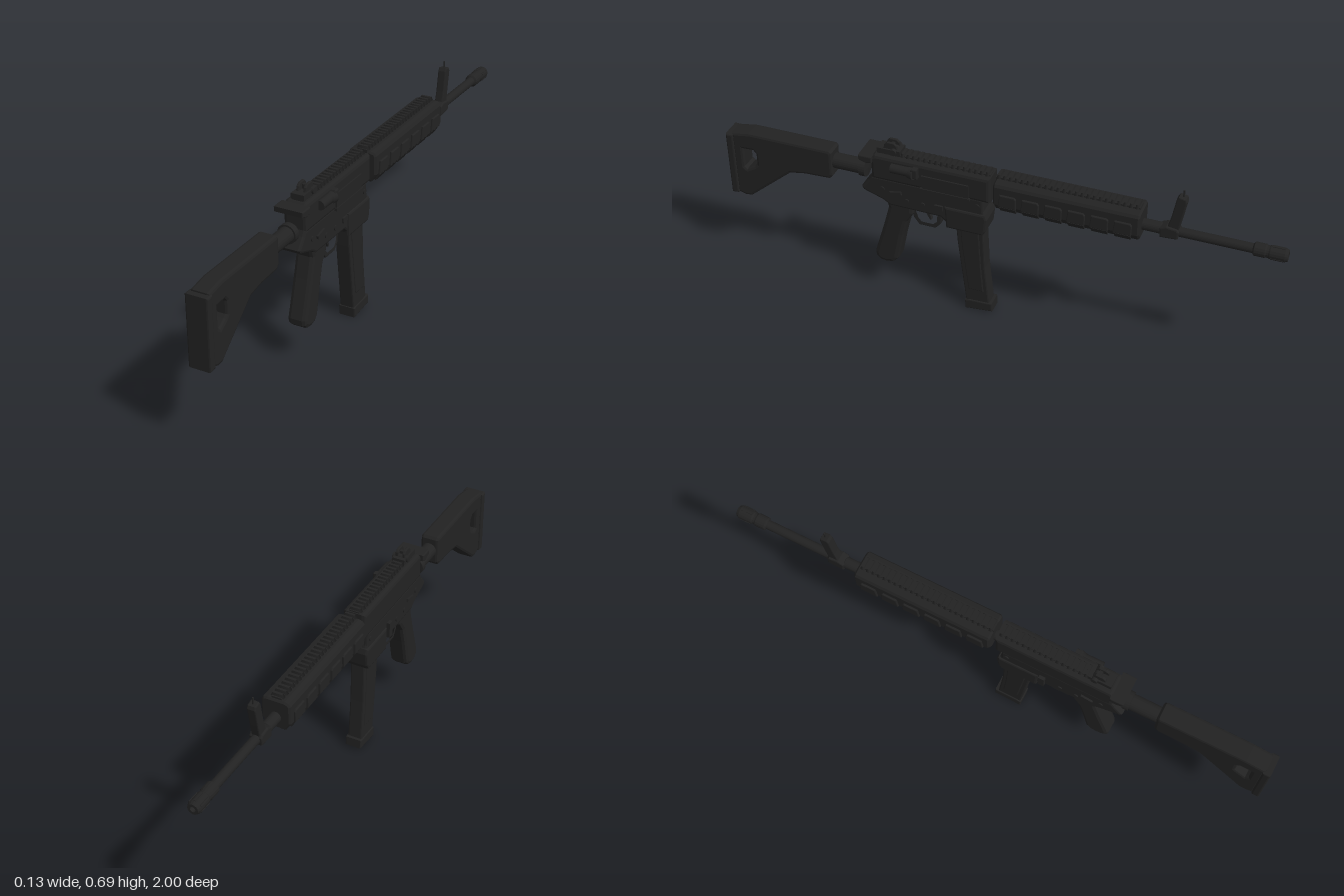
import * as THREE from 'three';

const black = new THREE.MeshStandardMaterial({ color: 0x222222 });
black.name = 'matte black';

const CX = -0.004; // centre line of the gun

function add(parent, name, geo, x = 0, y = 0, z = 0) {
  const m = new THREE.Mesh(geo, black);
  m.name = name;
  m.position.set(x, y, z);
  parent.add(m);
  return m;
}

function outline(points, Type = THREE.Shape) {
  return new Type(points.map(([a, b]) => new THREE.Vector2(a, b)));
}

// Side profile given as [z, y] points, extruded across the width with bevelled edges
function side(parent, name, points, width, bevel = 0.006, hole = null, x = 0) {
  const shape = outline(points);
  if (hole) shape.holes.push(outline(hole, THREE.Path));
  const geo = new THREE.ExtrudeGeometry(shape, {
    depth: width - 2 * bevel, bevelEnabled: bevel > 0, bevelThickness: bevel,
    bevelSize: bevel, bevelOffset: -bevel, bevelSegments: 2,
  });
  geo.translate(0, 0, -(width - 2 * bevel) / 2);
  geo.rotateY(-Math.PI / 2);
  return add(parent, name, geo, x);
}

function box(parent, name, w, h, d, x, y, z) {
  return add(parent, name, new THREE.BoxGeometry(w, h, d), x, y, z);
}

// Turned part along z, from a list of [z, radius]
function turned(parent, name, profile, y, sides = 24) {
  const pts = profile.map(([z, r]) => new THREE.Vector2(r, -z));
  const geo = new THREE.LatheGeometry(pts, sides).toNonIndexed();
  geo.computeVertexNormals();
  geo.rotateX(-Math.PI / 2);
  return add(parent, name, geo, 0, y, 0);
}

// Toothed sight rail on top
function rail(parent, name, z0, z1, y) {
  const g = new THREE.Group();
  g.name = name;
  parent.add(g);
  box(g, 'railBase', 0.036, 0.016, z1 - z0, 0, y - 0.018, (z0 + z1) / 2);
  const n = Math.round((z1 - z0) / 0.021);
  const step = (z1 - z0) / n;
  const tooth = new THREE.CylinderGeometry(0.019, 0.025, 0.013, 4, 1);
  tooth.rotateY(Math.PI / 4);
  tooth.scale(1.35, 1, 0.34);
  for (let i = 0; i < n; i++) add(g, 'railTooth', tooth, 0, y - 0.0065, z0 + step * (i + 0.5));
}

export function createModel() {
  const root = new THREE.Group();
  root.name = 'rifle';
  const gun = new THREE.Group();
  gun.name = 'body';
  gun.position.x = CX;
  root.add(gun);

  // Shoulder stock with cut-out, butt pad and buffer tube
  side(gun, 'stock', [[0.98, 0.545], [0.91, 0.557], [0.6, 0.557], [0.592, 0.548], [0.592, 0.455], [0.605, 0.44],
    [0.70, 0.436], [0.76, 0.425], [0.925, 0.285], [0.95, 0.283], [0.98, 0.293]], 0.07, 0.01,
  [[0.94, 0.485], [0.90, 0.487], [0.89, 0.475], [0.89, 0.43], [0.90, 0.42], [0.93, 0.402], [0.94, 0.41]]);
  side(gun, 'buttPad', [[1, 0.54], [0.972, 0.54], [0.972, 0.291], [1, 0.288]], 0.081, 0.006);
  turned(gun, 'bufferTube', [[0.62, 0.028], [0.492, 0.028], [0.492, 0.034], [0.47, 0.034], [0.468, 0]], 0.502);

  // Upper receiver, its rail and side details
  side(gun, 'upperReceiver', [[0.44, 0.58], [0.425, 0.59], [0.005, 0.59], [0.005, 0.49], [0.44, 0.49]], 0.084, 0.012);
  rail(gun, 'receiverRail', 0.01, 0.42, 0.604);
  side(gun, 'chargingHandle', [[0.48, 0.585], [0.43, 0.585], [0.43, 0.562], [0.45, 0.556], [0.478, 0.566]], 0.106, 0.004);
  box(gun, 'handleRod', 0.04, 0.02, 0.06, 0, 0.573, 0.42);
  box(gun, 'dustCover', 0.008, 0.056, 0.17, 0.043, 0.522, 0.165);
  box(gun, 'dustCoverHinge', 0.01, 0.01, 0.18, 0.045, 0.494, 0.165);
  side(gun, 'caseDeflector', [[0.3, 0.54], [0.26, 0.54], [0.26, 0.578], [0.28, 0.578]], 0.026, 0.004, null, 0.048);
  const assist = add(gun, 'forwardAssist', new THREE.CylinderGeometry(0.017, 0.017, 0.075, 16), 0.046, 0.556, 0.322);
  assist.rotation.x = Math.PI / 2;
  const button = add(gun, 'assistButton', new THREE.CylinderGeometry(0.021, 0.021, 0.022, 16), 0.046, 0.553, 0.283);
  button.rotation.set(Math.PI / 2, 0, 0.3);

  // Rear sight
  box(gun, 'rearSightBase', 0.048, 0.02, 0.085, 0, 0.602, 0.378);
  for (const s of [-1, 1]) {
    side(gun, 'rearSightWing', [[0.4, 0.605], [0.395, 0.627], [0.385, 0.636], [0.36, 0.636], [0.35, 0.627], [0.35, 0.605]],
      0.01, 0.002, null, s * 0.013);
  }
  box(gun, 'rearAperture', 0.02, 0.026, 0.012, 0, 0.614, 0.37);
  const drum = add(gun, 'sightDrum', new THREE.CylinderGeometry(0.012, 0.012, 0.06, 14), 0, 0.606, 0.36);
  drum.rotation.z = Math.PI / 2;

  // Lower receiver with magazine well
  side(gun, 'lowerReceiver', [[0.44, 0.5], [0.45, 0.482], [0.48, 0.445], [0.472, 0.432], [0.40, 0.407], [0.375, 0.39],
    [0.185, 0.388], [0.168, 0.372], [0.163, 0.358], [0.155, 0.353], [0.035, 0.353], [0.024, 0.365], [0.016, 0.42],
    [0.028, 0.45], [0.03, 0.5]], 0.08, 0.008);
  side(gun, 'magazineWell', [[0.17, 0.44], [0.165, 0.352], [0.03, 0.352], [0.02, 0.37], [0.014, 0.42], [0.02, 0.44]], 0.092, 0.008);
  box(gun, 'boltCatch', 0.014, 0.06, 0.022, -0.045, 0.424, 0.185);
  box(gun, 'magazineRelease', 0.01, 0.018, 0.03, 0.042, 0.43, 0.19);
  for (const [y, z] of [[0.47, 0.05], [0.455, 0.40], [0.425, 0.25], [0.425, 0.31]]) {
    const pin = add(gun, 'pin', new THREE.CylinderGeometry(0.009, 0.009, 0.088, 12), 0, y, z);
    pin.rotation.z = Math.PI / 2;
  }
  for (const s of [-1, 1]) {
    const lever = box(gun, 'selectorLever', 0.008, 0.012, 0.045, s * 0.043, 0.45, 0.35);
    lever.rotation.x = 0.2;
  }

  // Trigger and guard
  side(gun, 'triggerGuard', [[0.31, 0.395], [0.295, 0.345], [0.275, 0.318], [0.215, 0.318], [0.195, 0.34], [0.188, 0.395]],
    0.036, 0.003, [[0.292, 0.385], [0.28, 0.345], [0.267, 0.33], [0.221, 0.33], [0.206, 0.345], [0.202, 0.385]]);
  side(gun, 'trigger', [[0.258, 0.395], [0.234, 0.395], [0.238, 0.365], [0.232, 0.343], [0.24, 0.34], [0.252, 0.365]], 0.014, 0.002);

  // Pistol grip
  side(gun, 'grip', [[0.395, 0.41], [0.385, 0.375], [0.405, 0.3], [0.445, 0.165], [0.443, 0.145], [0.425, 0.13],
    [0.40, 0.126], [0.375, 0.132], [0.358, 0.15], [0.335, 0.26], [0.318, 0.325], [0.292, 0.365], [0.29, 0.41]], 0.07, 0.014);

  // Magazine
  const mag = new THREE.Group();
  mag.name = 'magazine';
  gun.add(mag);
  side(mag, 'magazineBody', [[0.136, 0.38], [0.13, 0.29], [0.10, 0.03], [0.012, 0.035], [0.028, 0.2], [0.035, 0.38]], 0.054, 0.005);
  side(mag, 'magazinePanel', [[0.118, 0.36], [0.113, 0.28], [0.09, 0.09], [0.033, 0.09], [0.042, 0.2], [0.05, 0.36]], 0.06, 0.004);
  side(mag, 'basePlate', [[0.104, 0.036], [0.09, 0.041], [0.002, 0.044], [0, 0.01], [0.102, 0]], 0.062, 0.004);

  // Handguard: bevelled tube section with raised strips on sides and bottom
  const guard = new THREE.Group();
  guard.name = 'handguard';
  gun.add(guard);
  const half = [[0.03, 0.588], [0.046, 0.584], [0.052, 0.574], [0.052, 0.505], [0.034, 0.478], [0.028, 0.476]];
  const section = outline([...half, ...half.map(([x, y]) => [-x, y]).reverse()]);
  const guardGeo = new THREE.ExtrudeGeometry(section, {
    depth: 0.496, bevelThickness: 0.006, bevelSize: 0.006, bevelOffset: -0.006, bevelSegments: 1,
  });
  add(guard, 'handguardBody', guardGeo, 0, 0, -0.512);
  rail(guard, 'handguardRail', -0.51, -0.01, 0.604);
  for (let i = 0; i < 6; i++) {
    const z = -0.062 - i * 0.08;
    for (const s of [-1, 1]) {
      side(guard, 'sidePanel', [[z + 0.032, 0.503], [z + 0.026, 0.55], [z - 0.026, 0.55], [z - 0.032, 0.543], [z - 0.032, 0.503]],
        0.012, 0.003, null, s * 0.053);
      const low = box(guard, 'lowerPanel', 0.008, 0.03, 0.056, s * 0.044, 0.49, z);
      low.rotation.z = -s * 0.59;
    }
    box(guard, 'bottomPanel', 0.046, 0.012, 0.058, 0, 0.475, z);
  }

  // Barrel and muzzle device
  turned(gun, 'barrel', [[0, 0.02], [-0.58, 0.02], [-0.582, 0.0165], [-0.9, 0.0165]], 0.521);
  turned(gun, 'muzzleDevice', [[-0.885, 0.0165], [-0.89, 0.0235], [-0.925, 0.0235], [-0.93, 0.021], [-0.937, 0.021],
    [-0.942, 0.0235], [-0.99, 0.0235], [-1, 0.019], [-1, 0.01], [-0.97, 0.01], [-0.97, 0]], 0.521, 16);
  for (let i = 0; i < 6; i++) {
    const a = (i / 6) * Math.PI * 2;
    const rib = box(gun, 'muzzleRib', 0.006, 0.008, 0.042, Math.sin(a) * 0.021, 0.521 + Math.cos(a) * 0.021, -0.966);
    rib.rotation.z = -a;
  }

  // Front sight
  side(gun, 'frontSightBase', [[-0.578, 0.535], [-0.6, 0.545], [-0.635, 0.54], [-0.643, 0.53], [-0.64, 0.502], [-0.58, 0.498]], 0.046, 0.005);
  side(gun, 'frontSightTower', [[-0.6, 0.535], [-0.612, 0.58], [-0.625, 0.655], [-0.632, 0.667], [-0.656, 0.662],
    [-0.66, 0.65], [-0.648, 0.58], [-0.64, 0.535]], 0.031, 0.004);
  add(gun, 'frontSightPin', new THREE.CylinderGeometry(0.003, 0.003, 0.04, 10), 0, 0.668, -0.645);

  return root;
}
